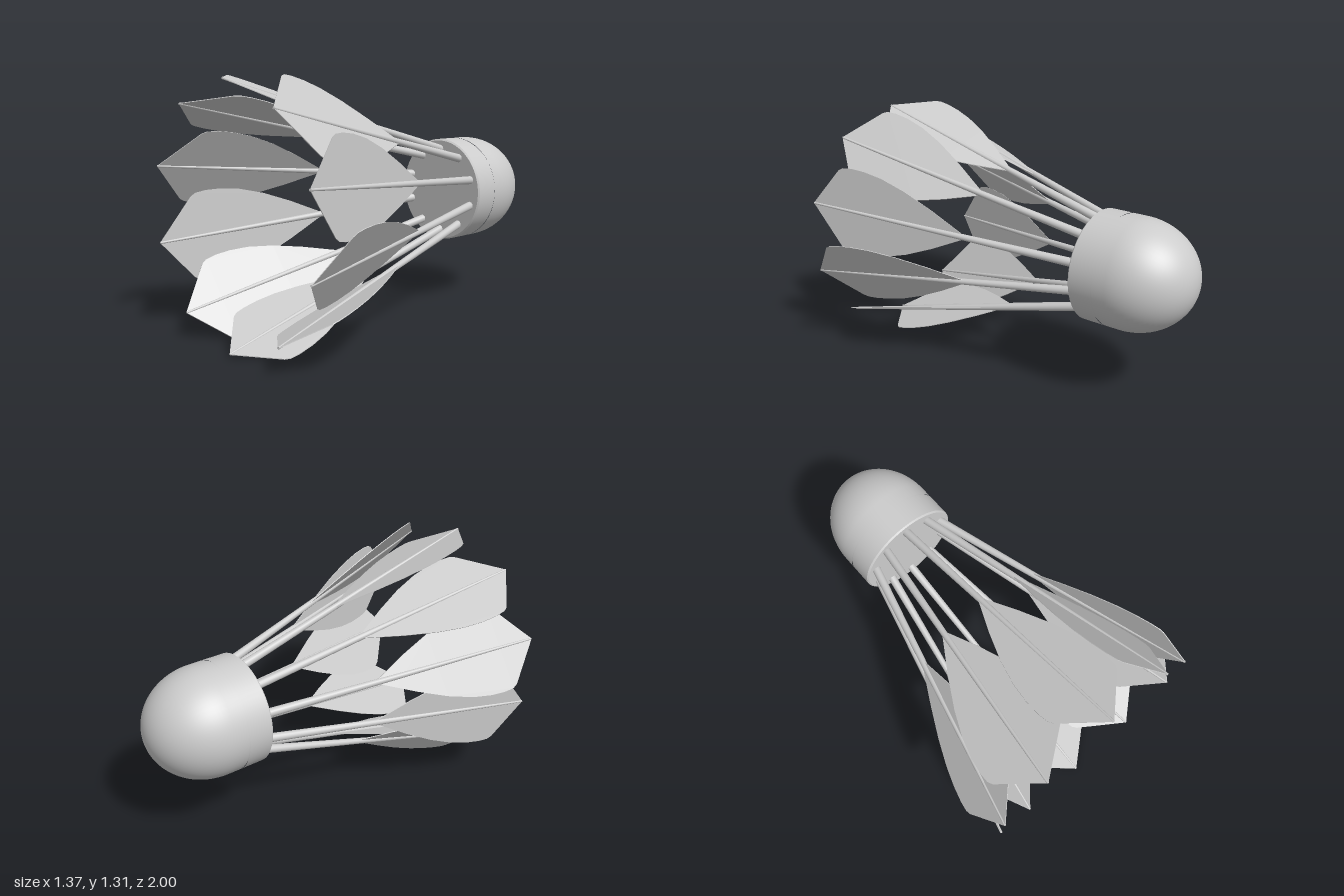
import * as THREE from 'three';

const CENTRE_Y = 0.66;
const FEATHERS = 10;
const TILT = 0.28; // overlap slope of each vane
const spineRadius = (z) => 0.362 + 0.278 * z; // distance of the quill from the axis

export function createModel() {
  const group = new THREE.Group();
  group.name = 'shuttlecock';
  const material = new THREE.MeshStandardMaterial({ color: 0xcccccc });
  const vaneMaterial = new THREE.MeshStandardMaterial({ color: 0xcccccc, side: THREE.DoubleSide });

  const body = new THREE.Group();
  body.position.y = CENTRE_Y;
  group.add(body);

  const add = (parent, geometry, name, mat = material) => {
    const mesh = new THREE.Mesh(geometry, mat);
    mesh.name = name;
    parent.add(mesh);
    return mesh;
  };

  // Rounded cork head, closing at the back
  const dome = [];
  for (let i = 0; i <= 24; i++) {
    const a = (i / 24) * Math.PI / 2;
    dome.push(new THREE.Vector2(0.29 * Math.sin(a), -0.67 - 0.33 * Math.cos(a)));
  }
  dome.push(new THREE.Vector2(0.29, -0.6));
  add(body, new THREE.LatheGeometry(dome, 64).rotateX(Math.PI / 2), 'corkDome');

  // Fine groove between the dome and the band
  add(body, new THREE.CylinderGeometry(0.284, 0.284, 0.02, 64)
    .rotateX(Math.PI / 2).translate(0, 0, -0.597), 'corkGroove');

  // Band with a small chamfer and a flat front face
  add(body, new THREE.CylinderGeometry(0.29, 0.29, 0.126, 64, 1, true)
    .rotateX(Math.PI / 2).translate(0, 0, -0.531), 'corkBand');
  add(body, new THREE.CylinderGeometry(0.282, 0.29, 0.008, 64, 1, true)
    .rotateX(Math.PI / 2).translate(0, 0, -0.464), 'corkChamfer');
  add(body, new THREE.CircleGeometry(0.282, 64).translate(0, 0, -0.46), 'corkFace');

  // Vane outline: half widths along the quill, mirrored
  const half = [[0.2, 0.05], [0.3, 0.1], [0.45, 0.165], [0.58, 0.206], [0.68, 0.223],
    [0.76, 0.226], [0.81, 0.22], [0.835, 0.205]];
  const shape = new THREE.Shape([
    new THREE.Vector2(0, 0.1),
    ...half.map(([z, w]) => new THREE.Vector2(w, z)),
    new THREE.Vector2(0, 1),
    ...half.slice().reverse().map(([z, w]) => new THREE.Vector2(-w, z)),
  ]);
  const vane = new THREE.ExtrudeGeometry(shape, { depth: 0.004, bevelEnabled: false });
  vane.translate(0, 0, -0.002).rotateX(Math.PI / 2);

  // Lean the flat vane along the quill and tilt it sideways
  const p = vane.attributes.position;
  for (let i = 0; i < p.count; i++) {
    p.setY(i, p.getY(i) + spineRadius(p.getZ(i)) - TILT * p.getX(i));
  }
  vane.computeVertexNormals();

  // Tapered quill from the cork to the vane tip
  const start = new THREE.Vector3(0, spineRadius(-0.47), -0.47);
  const end = new THREE.Vector3(0, spineRadius(0.998), 0.998);
  const along = end.clone().sub(start);
  const quill = new THREE.CylinderGeometry(0.006, 0.023, along.length(), 16);
  quill.applyQuaternion(new THREE.Quaternion().setFromUnitVectors(
    new THREE.Vector3(0, 1, 0), along.clone().normalize()));
  const mid = start.clone().add(end).multiplyScalar(0.5);
  quill.translate(mid.x, mid.y, mid.z);

  // Ring of feathers
  for (let i = 0; i < FEATHERS; i++) {
    const feather = new THREE.Group();
    feather.name = `feather${i + 1}`;
    feather.rotation.z = (i / FEATHERS) * Math.PI * 2;
    add(feather, quill, 'quill');
    add(feather, vane, 'vane', vaneMaterial);
    body.add(feather);
  }
  return group;
}
